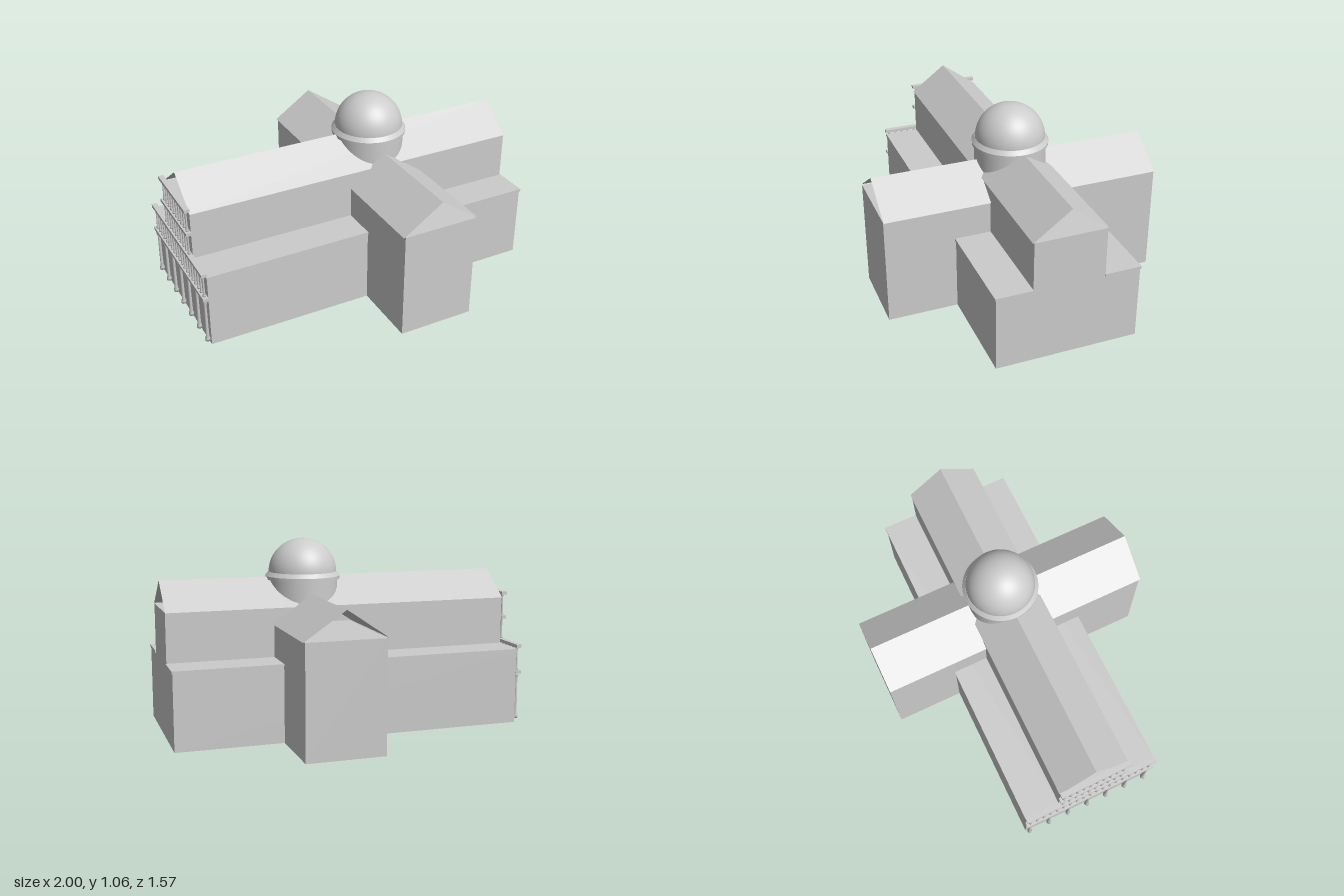
import * as THREE from 'three';

const stone = new THREE.MeshStandardMaterial({ color: 0xcccccc });
stone.name = 'pale stone';
const roofStone = stone.clone();
roofStone.name = 'pale stone, thin roof sheet';
roofStone.side = THREE.DoubleSide;

const CROSS_X = 0.185; // centre of the crossing

export function createModel() {
  const model = new THREE.Group();
  model.name = 'cathedral';

  const add = (name, geometry, parent = model, material = stone) => {
    const mesh = new THREE.Mesh(geometry, material);
    mesh.name = name;
    parent.add(mesh);
    return mesh;
  };

  // Box given by its lower and upper limits
  const box = (name, x0, x1, y0, y1, z0, z1, parent = model) =>
    add(name, new THREE.BoxGeometry(x1 - x0, y1 - y0, z1 - z0), parent)
      .position.set((x0 + x1) / 2, (y0 + y1) / 2, (z0 + z1) / 2);

  // Thin pitched roof along z with open gable ends
  const pitchedRoof = (name, halfWidth, length, eave, ridge) => {
    const h = length / 2, w = halfWidth;
    const g = new THREE.BufferGeometry();
    g.setAttribute('position', new THREE.Float32BufferAttribute([
      -w, eave, -h, -w, eave, h, 0, ridge, h,
      -w, eave, -h, 0, ridge, h, 0, ridge, -h,
      w, eave, h, w, eave, -h, 0, ridge, -h,
      w, eave, h, 0, ridge, -h, 0, ridge, h,
    ], 3));
    g.computeVertexNormals();
    return add(name, g, model, roofStone);
  };

  // Nave and aisles
  box('aisleBlock', -0.97, 0.99, 0, 0.415, -0.395, 0.395);
  box('naveWalls', -0.97, 0.99, 0.415, 0.7, -0.197, 0.197);
  for (const s of [-1, 1]) {
    box('aisleRoof', -0.972, 0.995, 0.415, 0.43,
      Math.min(s * 0.195, s * 0.4), Math.max(s * 0.195, s * 0.4));
  }
  const naveRoof = pitchedRoof('naveRoof', 0.204, 1.96, 0.7, 0.85);
  naveRoof.rotation.y = Math.PI / 2;
  naveRoof.position.x = 0.01;

  // Transept
  box('transeptWalls', CROSS_X - 0.216, CROSS_X + 0.216, 0, 0.612, -0.786, 0.786);
  pitchedRoof('transeptRoof', 0.226, 1.572, 0.612, 0.765).position.x = CROSS_X;

  // Drum, cornice and dome over the crossing
  const dome = new THREE.Group();
  dome.name = 'crossingDome';
  dome.position.x = CROSS_X - 0.002;
  model.add(dome);
  add('drum', new THREE.CylinderGeometry(0.196, 0.196, 0.2, 64, 1, true), dome).position.y = 0.745;
  const cornice = (name, r0, r1, y0, y1) =>
    add(name, new THREE.CylinderGeometry(r1, r0, y1 - y0, 64), dome).position.y = (y0 + y1) / 2;
  cornice('corniceBand', 0.208, 0.208, 0.833, 0.852);
  cornice('corniceSlope', 0.21, 0.192, 0.852, 0.875);
  add('domeShell', new THREE.SphereGeometry(0.191, 64, 24, 0, Math.PI * 2, 0, Math.PI / 2), dome)
    .position.y = 0.869;

  // Arcaded west facade: rows of columns carrying ledges
  const facade = new THREE.Group();
  facade.name = 'facade';
  model.add(facade);
  const tiers = [
    { y0: 0.02, y1: 0.285, half: 0.385, count: 7, r: 0.0095 },
    { y0: 0.305, y1: 0.435, half: 0.385, count: 19, r: 0.006 },
    { y0: 0.455, y1: 0.575, half: 0.19, count: 10, r: 0.006 },
    { y0: 0.595, y1: 0.715, half: 0.19, count: 10, r: 0.006 },
  ];
  for (const { y0, y1, half, count, r } of tiers) {
    const h = y1 - y0;
    const profile = [
      [0, 0], [r * 1.5, 0], [r * 1.5, h * 0.05], [r, h * 0.1],
      [r * 0.8, h * 0.86], [r * 1.5, h * 0.95], [r * 1.5, h], [0, h],
    ].map(([x, y]) => new THREE.Vector2(x, y));
    const column = new THREE.LatheGeometry(profile, 12);
    for (let i = 0; i < count; i++) {
      add('column', column, facade)
        .position.set(-0.984, y0, -half + 0.01 + (2 * half - 0.02) * i / (count - 1));
    }
    box('ledge', -1, -0.97, y1, y1 + 0.018, -half - 0.015, half + 0.015, facade);
  }

  return model;
}
